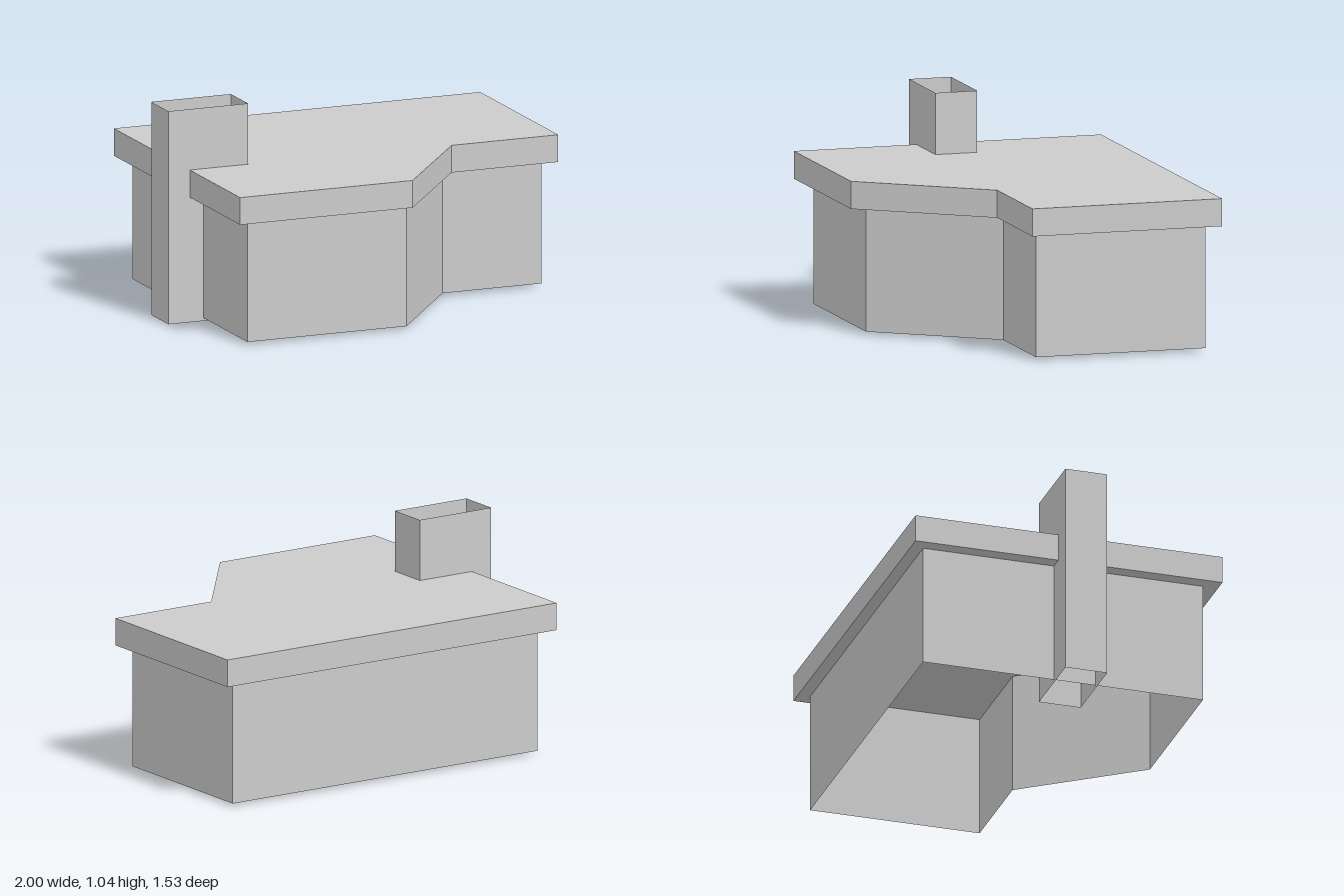
import * as THREE from 'three';

const material = new THREE.MeshStandardMaterial({ color: 0xcccccc, flatShading: true, side: THREE.DoubleSide });

// Open-ended vertical walls along a closed [x, z] outline (counter-clockwise seen from above)
function wallLoop(name, outline, y0, y1) {
  const positions = [];
  outline.forEach(([ax, az], i) => {
    const [bx, bz] = outline[(i + 1) % outline.length];
    positions.push(ax, y0, az, bx, y0, bz, bx, y1, bz);
    positions.push(ax, y0, az, bx, y1, bz, ax, y1, az);
  });
  const geometry = new THREE.BufferGeometry();
  geometry.setAttribute('position', new THREE.Float32BufferAttribute(positions, 3));
  geometry.computeVertexNormals();
  const mesh = new THREE.Mesh(geometry, material);
  mesh.name = name;
  return mesh;
}

// Closed horizontal slab over an [x, z] outline
function slab(name, outline, y0, y1) {
  const shape = new THREE.Shape(outline.map(([x, z]) => new THREE.Vector2(x, -z)));
  const geometry = new THREE.ExtrudeGeometry(shape, { depth: y1 - y0, bevelEnabled: false });
  geometry.rotateX(-Math.PI / 2).translate(0, y0, 0);
  const mesh = new THREE.Mesh(geometry, material);
  mesh.name = name;
  return mesh;
}

export function createModel() {
  const group = new THREE.Group();
  group.name = 'house';

  // Walls with a slanted front corner, open underneath
  const walls = [[-0.82, 0.69], [0, 0.69], [0.42, 0.14], [0.93, 0.14], [0.93, -0.705], [-0.82, -0.705]];
  group.add(wallLoop('walls', walls, 0.015, 0.61));

  // Overhanging flat roof
  const roof = [[-0.89, 0.765], [0, 0.765], [0.45, 0.18], [1, 0.18], [1, -0.765], [-0.89, -0.765]];
  group.add(slab('roof', roof, 0.61, 0.743));

  // Hollow chimney, open at both ends, running through the side wall and roof
  const chimney = [[-1, 0.155], [-0.59, 0.155], [-0.59, -0.053], [-1, -0.053]];
  group.add(wallLoop('chimney', chimney, 0, 1.04));

  return group;
}
